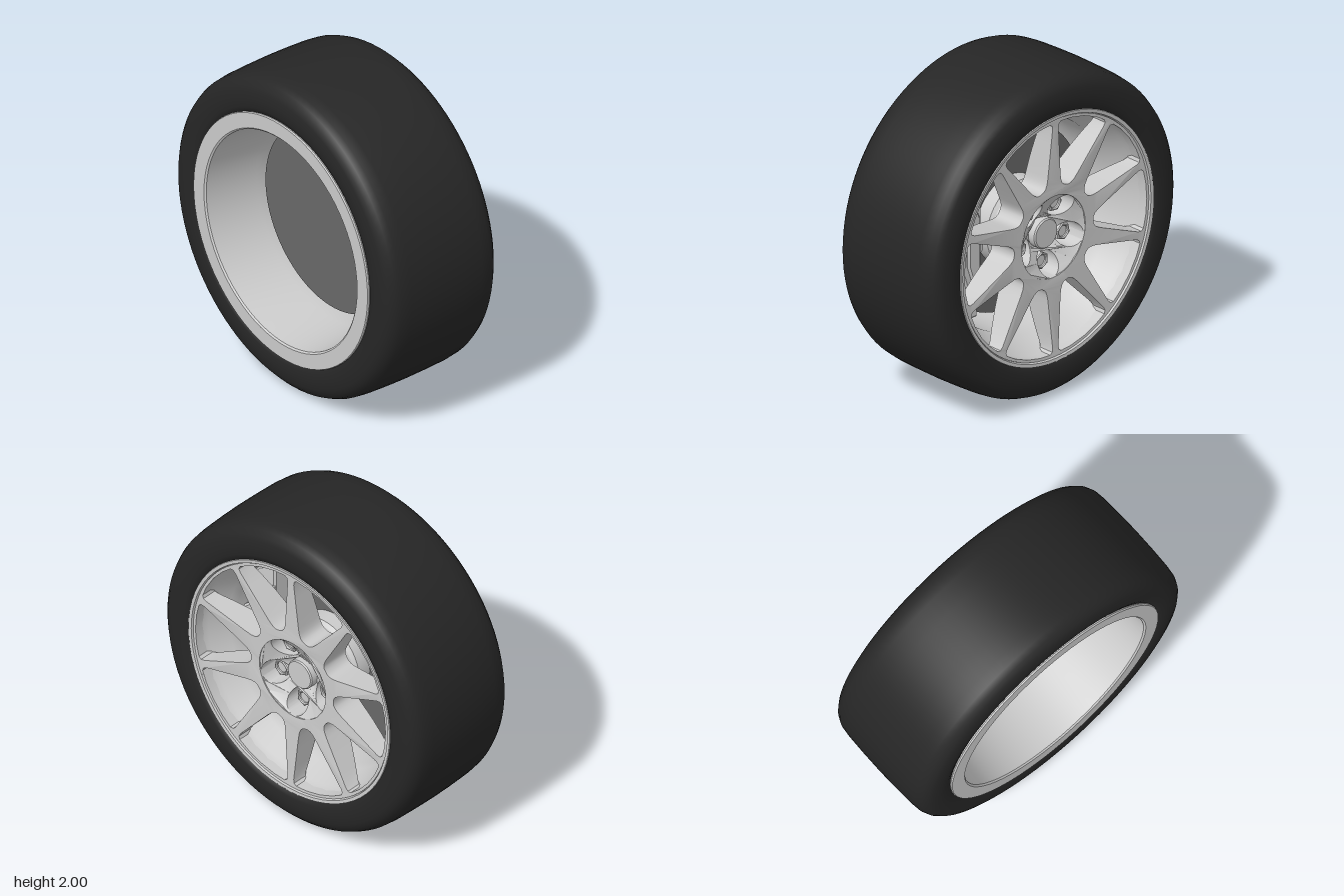
import * as THREE from 'three';
import { toCreasedNormals } from 'three/addons/utils/BufferGeometryUtils.js';

const grey = new THREE.MeshStandardMaterial({ color: 0xcccccc, side: THREE.DoubleSide });
const rubber = new THREE.MeshStandardMaterial({ color: 0x262626, side: THREE.DoubleSide });
const iron = new THREE.MeshStandardMaterial({ color: 0x686868, side: THREE.DoubleSide });

const V = (x, y) => new THREE.Vector2(x, y);
const polar = (r, a) => V(r * Math.cos(a), r * Math.sin(a));
const TAU = Math.PI * 2;

// The wheel is built with its axle along z (face towards +z), then turned to face +x.
export function createModel() {
  const model = new THREE.Group();
  model.name = 'wheel';
  const wheel = new THREE.Group();
  wheel.name = 'wheelAssembly';
  wheel.rotation.y = Math.PI / 2;
  wheel.position.y = 1;
  model.add(wheel);

  const add = (name, geometry, material = grey, crease = 0.5) => {
    const mesh = new THREE.Mesh(toCreasedNormals(geometry, crease), material);
    mesh.name = name;
    wheel.add(mesh);
    return mesh;
  };
  // Profile points are [radius, axial position]
  const turned = (profile, segments = 72) =>
    new THREE.LatheGeometry(profile.map(([r, z]) => V(r, z)), segments).rotateX(Math.PI / 2);
  const extrude = (shape, z0, z1, bevel = 0) => new THREE.ExtrudeGeometry(shape, {
    depth: z1 - z0 - 2 * bevel, bevelEnabled: bevel > 0, bevelSize: bevel, bevelOffset: -bevel,
    bevelThickness: bevel, bevelSegments: 1, curveSegments: 48,
  }).translate(0, 0, z0 + bevel);
  const hole = (x, y, r) => new THREE.Path().absarc(x, y, r, 0, TAU, true);
  // Replaces the flat front and back of an extrusion by functions of radius
  const dish = (geometry, front, back) => {
    const p = geometry.attributes.position;
    for (let i = 0; i < p.count; i++) {
      const r = Math.hypot(p.getX(i), p.getY(i));
      p.setZ(i, p.getZ(i) > 0.5 ? front(r) : back(r));
    }
    return geometry;
  };

  // Tire: crown, rounded shoulders and sidewalls down to the bead
  const half = [[1, 0], [0.998, 0.13], [0.993, 0.26], [0.985, 0.325], [0.968, 0.362],
    [0.94, 0.388], [0.91, 0.399], [0.86, 0.405], [0.81, 0.402], [0.775, 0.39], [0.76, 0.36]];
  add('tire', turned([...half.slice(1).reverse().map(([r, z]) => [r, -z]), ...half], 96), rubber, 0.9);

  // Rim barrel: flat back flange, tapered bore, front drop and stepped lip
  add('rimBarrel', turned([[0.77, -0.36], [0.782, -0.4], [0.778, -0.409], [0.685, -0.409], [0.675, -0.4],
    [0.648, -0.05], [0.648, 0.12], [0.665, 0.17], [0.72, 0.29], [0.733, 0.33], [0.738, 0.378],
    [0.75, 0.378], [0.755, 0.395], [0.775, 0.397], [0.78, 0.38], [0.77, 0.35]]));

  // Spoke face: a disc with ten rounded windows
  const spokes = 10;
  const face = new THREE.Shape().absarc(0, 0, 0.748, 0, TAU, false);
  face.holes.push(hole(0, 0, 0.255));
  const spread = (r) => Math.PI / spokes - Math.asin((0.02 + 0.036 * (0.73 - r) / 0.4) / r);
  const side = [[0.317, 0.0], [0.32, 0.5], [0.332, 0.8], [0.355, 0.96], [0.39, 1], [0.5, 1],
    [0.6, 1], [0.69, 1], [0.715, 0.97], [0.728, 0.88], [0.731, 0.5], [0.732, 0]];
  for (let i = 0; i < spokes; i++) {
    const mid = Math.PI / 2 + (i + 0.5) * TAU / spokes;
    const edge = (s) => side.map(([r, k]) => polar(r, mid + s * k * spread(r)));
    face.holes.push(new THREE.Path([...edge(1), ...edge(-1).reverse().slice(1, -1)]));
  }
  const t = (r) => THREE.MathUtils.clamp((r - 0.25) / 0.5, 0, 1);
  add('spokes', dish(extrude(face, 0, 1), (r) => 0.367 + 0.018 * t(r), (r) => 0.18 + 0.12 * t(r) ** 1.5));

  // Hub bowl with five lug pockets, each holding a hex nut
  const hub = new THREE.Shape().absarc(0, 0, 0.262, 0, TAU, false);
  hub.holes.push(hole(0, 0, 0.09));
  for (let i = 0; i < 5; i++) {
    const a = -Math.PI / 2 + i * TAU / 5;
    const c = polar(0.183, a);
    hub.holes.push(hole(c.x, c.y, 0.074));
    const nut = new THREE.Shape(Array.from({ length: 6 }, (_, k) => polar(0.055, a + k * TAU / 6).add(c)));
    nut.holes.push(hole(c.x, c.y, 0.034));
    add('lugNut', extrude(nut, 0.19, 0.275, 0.006));
    add('lugStud', new THREE.CylinderGeometry(0.034, 0.034, 0.07, 20).rotateX(Math.PI / 2)
      .translate(c.x, c.y, 0.225));
  }
  add('hubBowl', dish(extrude(hub, 0, 1), (r) => 0.255 + 0.108 * ((r - 0.09) / 0.172), () => 0.18));
  add('hubBack', new THREE.CylinderGeometry(0.262, 0.25, 0.05, 64).rotateX(Math.PI / 2).translate(0, 0, 0.175));
  add('centerCap', turned([[0, 0.19], [0.093, 0.19], [0.093, 0.302], [0.086, 0.31], [0, 0.31]], 40));

  // Brake disc and its hat
  add('brakeDisc', new THREE.CylinderGeometry(0.57, 0.57, 0.06, 72).rotateX(Math.PI / 2).translate(0, 0, -0.02), iron);
  add('discHat', turned([[0.27, 0], [0.27, 0.1], [0.25, 0.12], [0.24, 0.16]], 48));

  // Brake caliper: body plus two raised steps, mirrored top to bottom
  const caliper = (name, upper, z0, z1) => {
    const lower = upper.map(([x, y]) => [x, -y]).reverse();
    add(name, extrude(new THREE.Shape([...upper, ...lower].map(([x, y]) => V(x, y))), z0, z1, 0.012));
  };
  caliper('caliperBody', [[-0.31, 0.06], [-0.36, 0.1], [-0.36, 0.465], [-0.42, 0.465], [-0.49, 0.42],
    [-0.545, 0.34], [-0.545, 0.14], [-0.605, 0.09]], 0.0, 0.12);
  caliper('caliperStep', [[-0.36, 0.34], [-0.42, 0.345], [-0.48, 0.24], [-0.52, 0.12], [-0.535, 0.04]], 0.1, 0.15);
  caliper('caliperRib', [[-0.38, 0.18], [-0.4, 0.23], [-0.44, 0.22], [-0.48, 0.1]], 0.14, 0.165);

  return model;
}
